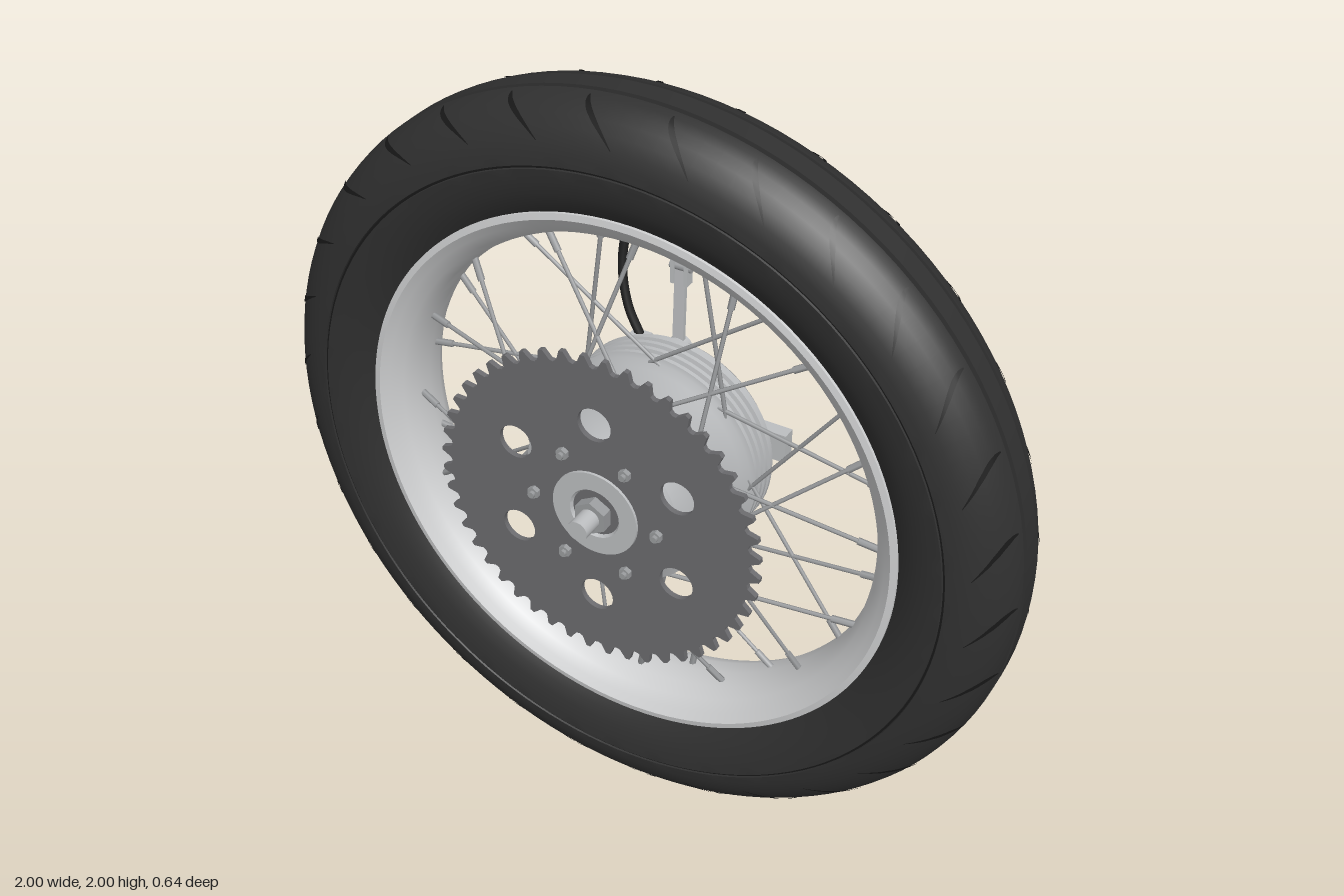
import * as THREE from 'three';
import { toCreasedNormals, mergeGeometries } from 'three/addons/utils/BufferGeometryUtils.js';

const mat = (name, color, side = THREE.FrontSide) => {
  const m = new THREE.MeshStandardMaterial({ color, side });
  m.name = name;
  return m;
};
const V = (x, y, z) => new THREE.Vector3(x, y, z);

// Revolve a [radius, z] profile around the axle (z axis)
function revolve(profile, segments = 64, crease = 0.5) {
  const pts = profile.map(([r, z]) => new THREE.Vector2(r, z));
  return toCreasedNormals(new THREE.LatheGeometry(pts, segments).rotateX(Math.PI / 2), crease);
}

// Straight cylinder between two points
function rod(a, b, radius, sides = 8) {
  const d = b.clone().sub(a);
  const g = new THREE.CylinderGeometry(radius, radius, d.length(), sides);
  g.applyQuaternion(new THREE.Quaternion().setFromUnitVectors(V(0, 1, 0), d.normalize()));
  const c = a.clone().add(b).multiplyScalar(0.5);
  return g.translate(c.x, c.y, c.z);
}
const hexNut = (a, b, r) => toCreasedNormals(rod(a, b, r, 6), 0.5);
const box = (w, h, d, x, y, z) => new THREE.BoxGeometry(w, h, d).translate(x, y, z);

export function createModel() {
  const root = new THREE.Group();
  root.name = 'spokedWheel';
  root.position.y = 1;

  const rubber = mat('tireRubber', 0x303030);
  const dark = mat('darkGroove', 0x181818, THREE.DoubleSide);
  const rimMetal = mat('rimAluminium', 0xcfd0d1);
  const hubMetal = mat('hubAluminium', 0xbcbec0);
  const steel = mat('spokeSteel', 0x9a9c9e);
  const sprocketSteel = mat('sprocketSteel', 0x6b6b6e);
  const cableBlack = mat('cableBlack', 0x1e1e1e);
  const add = (name, geo, material) => {
    const m = new THREE.Mesh(geo, material);
    m.name = name;
    root.add(m);
    return m;
  };

  // Tire: half profile from centre groove to bead, mirrored
  const half = [
    [1, 0.028], [0.984, 0.03], [0.984, 0.038], [0.998, 0.04], [0.993, 0.06], [0.982, 0.082],
    [0.965, 0.104], [0.942, 0.124], [0.915, 0.141], [0.885, 0.151], [0.859, 0.155], [0.857, 0.149],
    [0.853, 0.149], [0.851, 0.155], [0.82, 0.152], [0.785, 0.143], [0.755, 0.13], [0.728, 0.112], [0.7, 0.09],
  ];
  const back = half.map(([r, z]) => [r, -z]).reverse();
  add('tire', revolve([...back, ...half], 128, 0.6), rubber);

  // Dark floors of the tread grooves and sidewall lines
  for (const s of [-1, 1]) {
    add('treadGroove', revolve([[0.987, s * 0.034 - 0.005], [0.987, s * 0.034 + 0.005]], 128), dark);
    add('sidewallLine', new THREE.RingGeometry(0.8525, 0.8575, 128).translate(0, 0, s * 0.1505), dark);
  }

  // Curved tread cuts laid on the tire surface
  const outline = half.slice(3, 11);
  const surfaceR = (z) => {
    for (let i = 1; i < outline.length; i++) {
      const [r0, z0] = outline[i - 1], [r1, z1] = outline[i];
      if (z <= z1) return r0 + ((r1 - r0) * (z - z0)) / (z1 - z0);
    }
    return 0.86;
  };
  const pos = [], idx = [], steps = 12, cuts = 30;
  for (const s of [-1, 1]) for (let k = 0; k < cuts; k++) {
    const a0 = ((k + (s > 0 ? 0 : 0.5)) / cuts) * Math.PI * 2;
    const base = pos.length / 3;
    for (let i = 0; i <= steps; i++) {
      const t = i / steps, z = 0.058 + 0.084 * t, r = surfaceR(z) + 0.003;
      const mid = a0 - s * 0.1 * t * t, w = 0.009 * Math.sin(Math.PI * (0.06 + 0.9 * t));
      for (const e of [-w, w]) pos.push(r * Math.cos(mid + e), r * Math.sin(mid + e), s * z);
      if (i < steps) {
        const q = base + i * 2;
        idx.push(q, q + 1, q + 2, q + 1, q + 3, q + 2);
      }
    }
  }
  const cutGeo = new THREE.BufferGeometry();
  cutGeo.setAttribute('position', new THREE.Float32BufferAttribute(pos, 3));
  cutGeo.setIndex(idx);
  cutGeo.computeVertexNormals();
  add('treadCuts', cutGeo, dark);

  // Rim
  const rimHalf = [[0.665, 0.05], [0.68, 0.085], [0.728, 0.1], [0.728, 0.12], [0.712, 0.123],
    [0.692, 0.108], [0.665, 0.085], [0.648, 0.05]];
  const rimBack = rimHalf.map(([r, z]) => [r, -z]).reverse();
  add('rim', revolve([[0.642, 0], ...rimBack, ...rimHalf, [0.642, 0]], 128, 0.6), rimMetal);

  // Hub shell: ribbed brake drum at the back, waist, and front flange
  const ribs = [];
  for (let i = 0; i < 4; i++) {
    const z = -0.135 + i * 0.025;
    ribs.push([0.268, z], [0.282, z + 0.003], [0.282, z + 0.014], [0.268, z + 0.017]);
  }
  add('hubShell', revolve([[0.05, -0.14], ...ribs, [0.25, -0.03], [0.2, -0.01], [0.15, 0.02], [0.14, 0.06],
    [0.165, 0.1], [0.215, 0.125], [0.245, 0.14], [0.245, 0.155], [0.21, 0.168], [0.175, 0.197], [0.05, 0.197]]), hubMetal);
  add('brakePlate', revolve([[0.26, -0.137], [0, -0.238], [0.06, -0.238], [0.072, -0.22], [0.12, -0.213], [0.19, -0.198],
    [0.235, -0.182], [0.262, -0.165], [0.274, -0.15], [0.274, -0.137], [0.05, -0.137]].slice(1)), hubMetal);
  add('sprocketCarrier', revolve([[0, 0.195], [0.2, 0.195], [0.2, 0.214], [0.118, 0.214], [0.116, 0.242],
    [0.068, 0.242], [0.062, 0.232], [0, 0.232]]), hubMetal);
  add('bearingSeal', new THREE.RingGeometry(0.03, 0.063, 40).translate(0, 0, 0.234), sprocketSteel);

  // Axle with nuts
  add('axle', rod(V(0, 0, -0.32), V(0, 0, 0.32), 0.027, 24), hubMetal);
  add('frontAxleNut', hexNut(V(0, 0, 0.232), V(0, 0, 0.264), 0.046), steel);
  add('rearAxleNut', hexNut(V(0, 0, -0.236), V(0, 0, -0.268), 0.044), hubMetal);

  // Sprocket with teeth and six round windows
  const shape = new THREE.Shape(), teeth = 48;
  for (let i = 0; i < teeth; i++) {
    [[0, 0.411], [0.18, 0.415], [0.4, 0.44], [0.6, 0.44], [0.82, 0.415]].forEach(([f, r], j) => {
      const a = ((i + f) / teeth) * Math.PI * 2;
      shape[i + j ? 'lineTo' : 'moveTo'](r * Math.cos(a), r * Math.sin(a));
    });
  }
  shape.closePath();
  const hole = (x, y, r) => shape.holes.push(new THREE.Path().absarc(x, y, r, 0, Math.PI * 2, true));
  hole(0, 0, 0.117);
  const bolts = [];
  for (let i = 0; i < 6; i++) {
    const a = (i * Math.PI) / 3, b = a + Math.PI / 6;
    hole(0.255 * Math.cos(b), 0.255 * Math.sin(b), 0.045);
    const x = 0.17 * Math.cos(a), y = 0.17 * Math.sin(a);
    bolts.push(hexNut(V(x, y, 0.212), V(x, y, 0.249), 0.016), rod(V(x, y, 0.245), V(x, y, 0.258), 0.009).toNonIndexed());
  }
  const sprocket = new THREE.ExtrudeGeometry(shape, { depth: 0.014, bevelEnabled: false, curveSegments: 24 });
  add('sprocket', sprocket.translate(0, 0, 0.222), sprocketSteel);
  add('sprocketBolts', mergeGeometries(bolts), steel);

  // Spokes alternate between flanges and lean both ways, with nipples at the rim
  const spokes = [], nipples = [], count = 32;
  for (let i = 0; i < count; i++) {
    const front = i % 2 === 0, lean = i % 4 < 2 ? 0.65 : -0.65;
    const a = (i / count) * Math.PI * 2, h = a + lean, hr = front ? 0.232 : 0.262;
    const inner = V(hr * Math.cos(h), hr * Math.sin(h), front ? 0.142 : -0.045);
    const outer = V(0.655 * Math.cos(a), 0.655 * Math.sin(a), front ? 0.025 : -0.025);
    spokes.push(rod(inner, outer, 0.0055, 6));
    nipples.push(rod(outer.clone().lerp(inner, 0.13), outer, 0.009, 6));
  }
  add('spokes', mergeGeometries(spokes), steel);
  add('spokeNipples', mergeGeometries(nipples), steel);

  // Torque bracket with a ribbed dark recess, and the anchor arm opposite
  add('torqueBracket', box(0.1, 0.08, 0.036, 0.25, 0.04, -0.182), hubMetal);
  add('torqueBracketRecess', box(0.086, 0.066, 0.006, 0.25, 0.04, -0.201), dark);
  for (let i = 0; i < 4; i++) add('torqueBracketRib', box(0.004, 0.066, 0.008, 0.224 + i * 0.0175, 0.04, -0.202), sprocketSteel);
  add('anchorArm', box(0.17, 0.055, 0.018, -0.235, -0.02, -0.193), hubMetal);

  // Brake lever on its pivot
  add('leverPivot', rod(V(-0.03, 0.2, -0.18), V(-0.03, 0.2, -0.232), 0.032, 20), hubMetal);
  const lever = add('brakeLever', box(0.03, 0.25, 0.012, 0, 0.125, 0), hubMetal);
  lever.position.set(-0.03, 0.2, -0.215);
  lever.rotation.x = -0.04;
  for (const s of [-1, 1]) add('leverClevis', box(0.01, 0.07, 0.026, -0.03 + s * 0.019, 0.42, -0.224), hubMetal);
  add('clevisPin', rod(V(-0.06, 0.43, -0.225), V(0, 0.43, -0.225), 0.01), steel);

  // Cable and its fitting on the brake plate
  add('cableStop', box(0.05, 0.045, 0.05, -0.135, 0.19, -0.2), hubMetal);
  const path = new THREE.CatmullRomCurve3([V(-0.135, 0.2, -0.212), V(-0.175, 0.28, -0.216), V(-0.2, 0.39, -0.232),
    V(-0.19, 0.52, -0.258), V(-0.15, 0.67, -0.285)]);
  add('brakeCable', new THREE.TubeGeometry(path, 32, 0.012, 10), cableBlack);
  add('cableEnd', rod(path.getPoint(0.995), path.getPoint(1), 0.012, 10), cableBlack);

  // Thin rear-facing rings need both sides, already handled by the dark material
  const model = new THREE.Group();
  model.name = 'wheel';
  model.add(root);
  return model;
}
